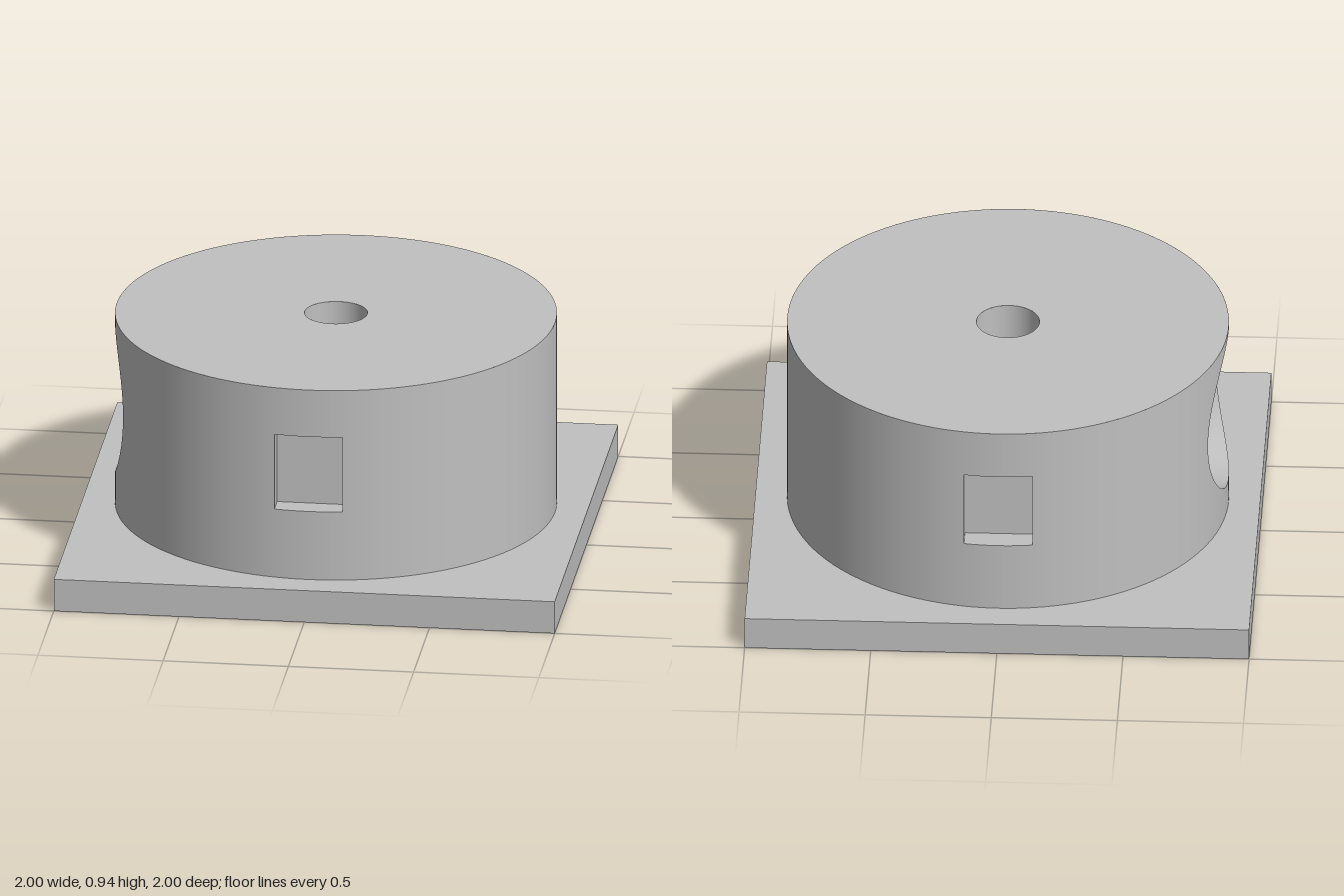
import * as THREE from 'three';
import { mergeGeometries } from 'three/addons/utils/BufferGeometryUtils.js';

const R = 0.875, BASE = 0.134, TOP = 0.936, MID = 0.58;   // drum
const WIN = 0.136, WIN_H = 0.158, WIN_Z = 0.78;           // square pockets
const REC = 0.337, REC_X = -0.7;                          // round recess
const BORE = 0.125, PIN = 0.065, PIN_X = -0.4;            // small holes

const grey = new THREE.MeshStandardMaterial({ color: 0xc0c0c0, side: THREE.DoubleSide });
grey.name = 'grey';

// Quad strip between two rows of points, row b above row a
function ribbon(a, b) {
  const g = new THREE.BufferGeometry().setFromPoints([...a, ...b]);
  const n = a.length, index = [];
  for (let i = 0; i < n - 1; i++) index.push(i, i + 1, n + i + 1, i, n + i + 1, n + i);
  g.setIndex(index);
  g.computeVertexNormals();
  return g;
}

const range = (from, to, n) => Array.from({ length: n + 1 }, (_, i) => from + (to - from) * i / n);
const onDrum = (t, y) => new THREE.Vector3(R * Math.sin(t), y, R * Math.cos(t));

// Drum wall over a run of angles, with an optional opening of given half height
function wallSection(angles, half) {
  const row = f => angles.map((t, i) => onDrum(t, f(i)));
  if (!half) return [ribbon(row(() => BASE), row(() => TOP))];
  return [
    ribbon(row(() => BASE), row(i => MID - half(i))),
    ribbon(row(i => MID + half(i)), row(() => TOP)),
  ];
}

function drumWall() {
  const w = Math.asin(WIN / R), c = Math.asin(REC / R), side = Math.PI * 1.5;
  const s = range(-Math.PI / 2, Math.PI / 2, 40);
  const g = mergeGeometries([
    ...wallSection(range(-w, w, 8), () => WIN_H),
    ...wallSection(range(w, Math.PI - w, 48)),
    ...wallSection(range(Math.PI - w, Math.PI + w, 8), () => WIN_H),
    ...wallSection(range(Math.PI + w, side - c, 20)),
    ...wallSection(s.map(v => side + Math.asin(REC * Math.sin(v) / R)), i => REC * Math.cos(s[i])),
    ...wallSection(range(side + c, 2 * Math.PI - w, 20)),
  ]);
  // Radial normals keep the joined sections smooth
  const p = g.attributes.position;
  for (let i = 0; i < p.count; i++) g.attributes.normal.setXYZ(i, p.getX(i) / R, 0, p.getZ(i) / R);
  return g;
}

// Square pocket in the +z side: four walls and a flat back
function pocket() {
  const w = Math.asin(WIN / R), lo = MID - WIN_H, hi = MID + WIN_H;
  const edges = [
    range(-w, w, 8).map(t => onDrum(t, lo)),
    [onDrum(w, lo), onDrum(w, hi)],
    range(w, -w, 8).map(t => onDrum(t, hi)),
    [onDrum(-w, hi), onDrum(-w, lo)],
  ];
  const walls = edges.map(e => ribbon(e, e.map(p => new THREE.Vector3(p.x, p.y, WIN_Z))));
  const back = new THREE.PlaneGeometry(WIN * 2, WIN_H * 2).translate(0, MID, WIN_Z);
  back.deleteAttribute('uv');
  return mergeGeometries([...walls, back]);
}

export function createModel() {
  const model = new THREE.Group();
  const add = (name, geometry) => {
    const mesh = new THREE.Mesh(geometry, grey);
    mesh.name = name;
    model.add(mesh);
    return mesh;
  };

  add('basePlate', new THREE.BoxGeometry(2, BASE, 2).translate(0, BASE / 2, 0));
  add('drumWall', drumWall());
  add('drumTop', new THREE.RingGeometry(BORE, R, 128).rotateX(-Math.PI / 2).translate(0, TOP, 0));
  add('centreBore', new THREE.CylinderGeometry(BORE, BORE, TOP - BASE, 48, 1, true)
    .translate(0, (TOP + BASE) / 2, 0));

  add('frontPocket', pocket());
  add('backPocket', pocket()).rotation.y = Math.PI;

  // Round recess in the -x side with a small pin hole in its floor
  const rim = range(0, Math.PI * 2, 80).map(t => {
    const z = REC * Math.cos(t);
    return new THREE.Vector3(-Math.sqrt(R * R - z * z), MID + REC * Math.sin(t), z);
  });
  add('recessWall', ribbon(rim, rim.map(p => new THREE.Vector3(REC_X, p.y, p.z))));
  add('recessFloor', new THREE.RingGeometry(PIN, REC, 80).rotateY(-Math.PI / 2).translate(REC_X, MID, 0));
  add('pinHole', new THREE.CylinderGeometry(PIN, PIN, PIN_X - REC_X, 32, 1, true)
    .rotateZ(Math.PI / 2).translate((PIN_X + REC_X) / 2, MID, 0));
  add('pinHoleEnd', new THREE.CircleGeometry(PIN, 32).rotateY(-Math.PI / 2).translate(PIN_X, MID, 0));

  return model;
}
